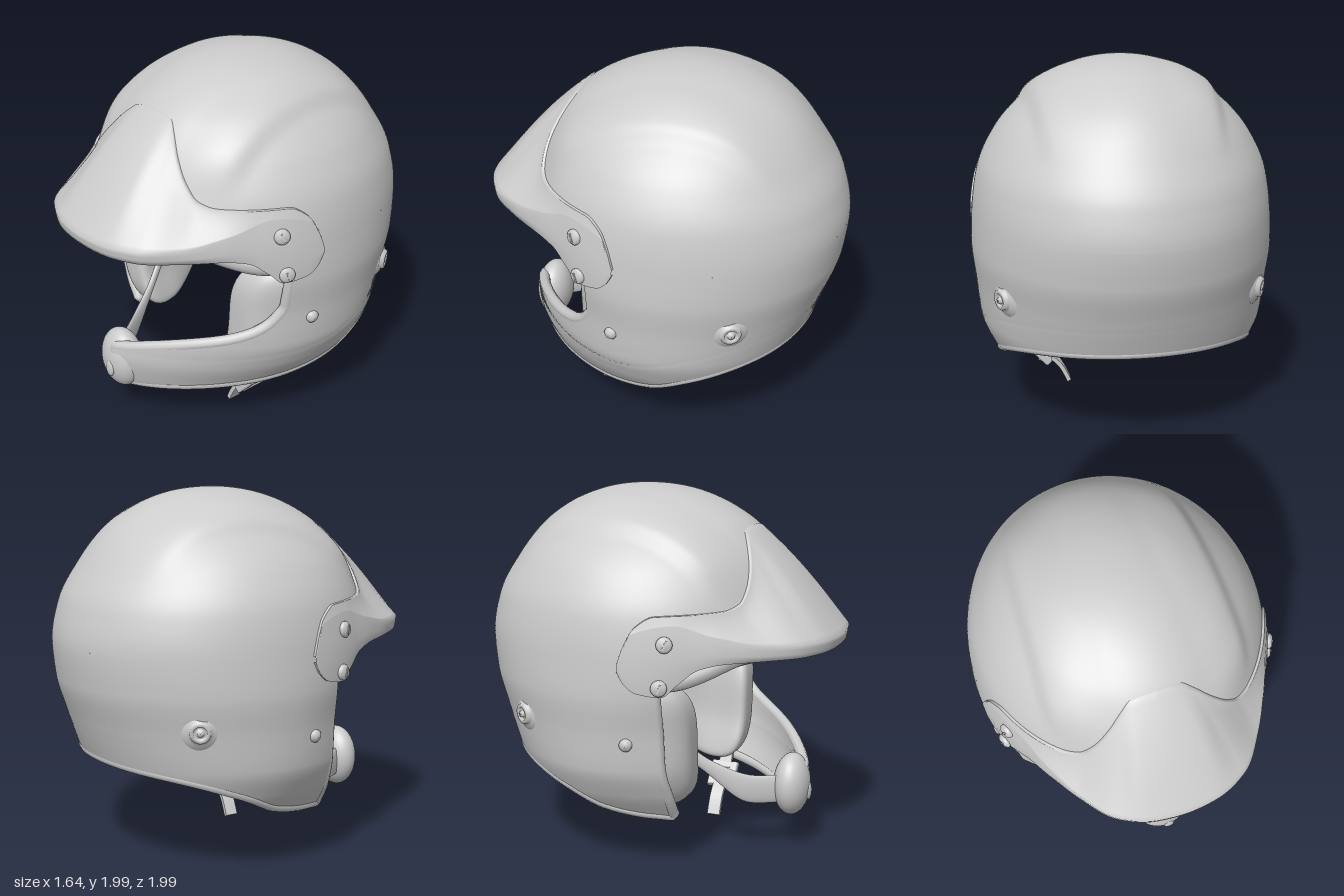
import * as THREE from 'three';
import { mergeVertices } from 'three/addons/utils/BufferGeometryUtils.js';

const MAT = new THREE.MeshStandardMaterial({ color: 0xcccccc, side: THREE.DoubleSide });
const CZ = -0.11;
const rad = THREE.MathUtils.degToRad, lerp = THREE.MathUtils.lerp, smooth = THREE.MathUtils.smoothstep;

// smooth, overshoot-free interpolation of [x, y] pairs
function spline(p) {
  const n = p.length, sl = [], m = [];
  for (let i = 0; i < n - 1; i++) sl.push((p[i + 1][1] - p[i][1]) / (p[i + 1][0] - p[i][0]));
  for (let i = 0; i < n; i++) {
    const a = sl[Math.max(i - 1, 0)], b = sl[Math.min(i, n - 2)];
    m.push(a * b <= 0 ? 0 : 2 * a * b / (a + b));
  }
  return x => {
    x = Math.min(Math.max(x, p[0][0]), p[n - 1][0]);
    let i = 0;
    while (i < n - 2 && x > p[i + 1][0]) i++;
    const h = p[i + 1][0] - p[i][0], t = (x - p[i][0]) / h, t2 = t * t, t3 = t2 * t;
    return (2 * t3 - 3 * t2 + 1) * p[i][1] + (t3 - 2 * t2 + t) * h * m[i]
      + (3 * t2 - 2 * t3) * p[i + 1][1] + (t3 - t2) * h * m[i + 1];
  };
}

// helmet cross-sections: height, half width, front z, back z
const SECTIONS = [
  [2, 0, -0.11, -0.11], [1.99, 0.13, 0.03, -0.27], [1.95, 0.28, 0.2, -0.43], [1.88, 0.4, 0.36, -0.58],
  [1.78, 0.53, 0.5, -0.71], [1.6, 0.69, 0.63, -0.85], [1.4, 0.78, 0.71, -0.96], [1.2, 0.81, 0.76, -1],
  [1, 0.82, 0.79, -0.98], [0.8, 0.8, 0.8, -0.92], [0.6, 0.78, 0.81, -0.85], [0.45, 0.72, 0.82, -0.79],
  [0.3, 0.62, 0.79, -0.72], [0.15, 0.52, 0.7, -0.65]];
const column = fn => {
  const f = spline(SECTIONS.map(s => [Math.sqrt(2 - s[0]), fn(s)]));
  return y => f(Math.sqrt(Math.max(0, 2 - y)));
};
const width = column(s => s[1]), front = column(s => s[2] - CZ), back = column(s => CZ - s[3]);

// half width at sine s of the angle; the jaw tapers towards the front
function halfWidth(y, s) {
  const taper = s > 0 ? 1 + 0.55 * (1 - smooth(y, 0.75, 1.25)) : 1;
  return width(y) * Math.sqrt(Math.max(0, 1 - s * s)) ** taper;
}

// point on the helmet at angle a (degrees, 90 = front), scaled by k towards the middle
function point(a, y, k = 1, ky = k) {
  const c = Math.cos(rad(a)), s = Math.sin(rad(a));
  const x = Math.sign(c) * halfWidth(y, s), z = (s > 0 ? front(y) : back(y)) * s;
  // raised band along the crown with a step down at each side
  const ax = Math.abs(x), edge = 0.45 + 0.08 * z;
  const raise = 1 + 0.028 * smooth(ax, edge - 0.25, edge) * (1 - smooth(ax, edge, edge + 0.09))
    * smooth(y, 1.45, 1.7) * smooth(z, -0.7, -0.3);
  return new THREE.Vector3(x * k * raise, y > 1.1 ? 1.1 + (y - 1.1) * ky * raise : y, CZ + z * k * raise);
}

const mesh = (name, geo) => {
  const m = new THREE.Mesh(geo, MAT);
  m.name = name;
  return m;
};

function weld(geo) {
  geo.deleteAttribute('uv');
  geo.deleteAttribute('normal');
  const g = mergeVertices(geo, 1e-5);
  g.computeVertexNormals();
  return g;
}

// grid surface from f(u, v)
function surface(name, f, nu, nv) {
  const geo = new THREE.PlaneGeometry(1, 1, nu, nv), pos = geo.attributes.position;
  for (let j = 0, i = 0; j <= nv; j++)
    for (let c = 0; c <= nu; c++, i++) {
      const p = f(c / nu, j / nv);
      pos.setXYZ(i, p.x, p.y, p.z);
    }
  return mesh(name, weld(geo));
}

const tube = (name, pts, r, closed = false, seg = 120) =>
  mesh(name, new THREE.TubeGeometry(new THREE.CatmullRomCurve3(pts, closed), seg, r, 10, closed));

const sample = (n, f) => Array.from({ length: n }, (_, i) => f(i / n));

// lower rim height by sine of the angle, and front edges by fraction of height
const bottom = spline([[-1, 0.6], [-0.7, 0.56], [-0.3, 0.465], [0, 0.37], [0.25, 0.325], [0.6, 0.3], [1, 0.265]]);
const barEdge = spline([[0, 26], [0.1, 22], [0.22, 20], [0.4, 20], [0.5, 23], [0.57, 28], [0.62, 36],
  [0.67, 52], [0.74, 75], [0.79, 98], [1, 98.01]]);
const plainEdge = spline([[0, 26], [0.2, 21], [0.6, 21], [1, 23]]);

const crown = k => (u, v) => point(u * 360, 2 - 0.8 * v * v, k);
const sides = k => (u, v) => {
  const a = lerp(barEdge(v), -180 - plainEdge(v), u);
  return point(a, lerp(1.2, bottom(Math.sin(rad(a))), v), k);
};

// peak: outlines by angle from the side
const peakTop = spline([[9, 1.18], [11, 1.27], [15, 1.37], [22, 1.425], [48, 1.435], [55, 1.46], [60, 1.53], [65, 1.63], [70, 1.73], [75, 1.785], [82, 1.8], [90, 1.805]]);
const peakFold = spline([[9, 1.17], [14, 1.34], [28, 1.38], [42, 1.32], [58, 1.27], [90, 1.255]]);
const peakLow = spline([[9, 1.15], [11, 1.09], [15, 1.04], [23, 1.02], [28, 1.08], [36, 1.16], [45, 1.185], [90, 1.2]]);
const peakOut = spline([[9, 0.02], [32, 0.025], [45, 0.07], [57, 0.15], [69, 0.25], [80, 0.28], [90, 0.282]]);
function peak(u, v) {
  const a = lerp(9, 171, u), b = 90 - Math.abs(90 - a), e = peakOut(b);
  const yt = peakTop(b), yf = Math.min(peakFold(b), yt - 0.005), yl = peakLow(b);
  const r = Math.round(v * 30), lip = 1 + e * 0.9;
  if (r === 0) return point(a, yt, 0.99, 1);
  if (r <= 22) {
    const t = (r - 1) / 21;
    const panel = 0.03 * smooth(b, 70, 78) * Math.sin(Math.PI * t);
    return point(a, lerp(yt, yf, t), 1.018 + (e - 0.018) * t ** 1.6 + panel, 1);
  }
  if (r <= 25) {
    const t = (r - 22) / 3;
    return point(a, lerp(yf, yl, t), lerp(1 + e, lip, t), 1);
  }
  return point(a, yl, lerp(lip, 0.98, (r - 25) / 5), 1);
}

// soft cheek pad following the inside of the shell
function cheekPad(side) {
  const geo = new THREE.BoxGeometry(2, 2, 2, 18, 18, 18), pos = geo.attributes.position;
  const v = new THREE.Vector3();
  for (let i = 0; i < pos.count; i++) {
    v.fromBufferAttribute(pos, i);
    v.multiplyScalar((v.x ** 4 + v.y ** 4 + v.z ** 4) ** -0.25);
    const z = lerp(-0.42, 0.32, (v.z + 1) / 2), s = (z - CZ) / 0.9;
    const y = lerp(bottom(s) + 0.01, 1.05, (v.y + 1) / 2);
    const outer = halfWidth(y, s) * 0.95;
    const thick = 0.1 + 0.19 * smooth(z, -0.4, 0.1);
    pos.setXYZ(i, side * (outer - thick * (1 - v.x) / 2), y, z);
  }
  return mesh('cheekPad', weld(geo));
}

// stacked round fitting standing on the shell; rings are [radius, height]
function fitting(name, side, z, y, k, rings, slot) {
  const s = (z - CZ) / (z > CZ ? front(y) : back(y));
  const a = Math.asin(s) * 180 / Math.PI, g = new THREE.Group();
  g.name = name;
  g.add(mesh('head', new THREE.LatheGeometry(rings.map(r => new THREE.Vector2(...r)), 24)));
  if (slot) {
    const bar = mesh('slot', new THREE.BoxGeometry(0.05, 0.006, 0.01));
    bar.position.y = rings[rings.length - 1][1];
    g.add(bar);
  }
  g.position.copy(point(a, y, k, 1));
  g.position.x *= side;
  const n = new THREE.Vector3(side * Math.cos(rad(a)) / width(y), (y - 1) * 0.4, s / front(y)).normalize();
  g.quaternion.setFromUnitVectors(new THREE.Vector3(0, 1, 0), n);
  return g;
}

// hanging strap with its buckle
function strapAndBuckle() {
  const g = new THREE.Group();
  g.name = 'chinStrap';
  const line = new THREE.SplineCurve([[0.53, 0.36], [0.48, 0.25], [0.4, 0.18], [0.33, 0.11], [0.28, 0.01]]
    .map(p => new THREE.Vector2(...p))).getPoints(20);
  const under = line.map(p => new THREE.Vector2(p.x - 0.022, p.y + 0.012)).reverse();
  const strap = mesh('strap', new THREE.ExtrudeGeometry(new THREE.Shape([...line, ...under]), { depth: 0.075, bevelEnabled: false }));
  strap.position.z = 0.135;
  const frame = new THREE.Shape().moveTo(-0.07, -0.07).lineTo(0.07, -0.07).lineTo(0.07, 0.07).lineTo(-0.07, 0.07);
  frame.holes.push(new THREE.Path().moveTo(-0.045, -0.045).lineTo(-0.045, 0.045).lineTo(0.045, 0.045).lineTo(0.045, -0.045));
  const buckle = mesh('buckle', new THREE.ExtrudeGeometry(frame,
    { depth: 0.03, bevelSize: 0.01, bevelThickness: 0.01, bevelSegments: 3 }));
  const pin = mesh('bucklePin', new THREE.CylinderGeometry(0.016, 0.016, 0.15, 12));
  pin.rotation.z = Math.PI / 2;
  pin.position.set(0, -0.02, 0.03);
  const clasp = new THREE.Group();
  clasp.add(buckle, pin);
  clasp.name = 'clasp';
  clasp.rotation.y = Math.PI / 2;
  const tilt = new THREE.Group();
  tilt.name = 'buckleAssembly';
  tilt.add(clasp);
  tilt.position.set(0.43, 0.225, 0.17);
  tilt.rotation.z = -0.75;
  g.add(strap, tilt);
  return g;
}

export function createModel() {
  const model = new THREE.Group();
  model.name = 'openFaceHelmet';
  const inner = 0.925;

  // shell and lining
  model.add(surface('crownShell', crown(1), 180, 60), surface('sideShell', sides(1), 120, 80));
  model.add(surface('crownLining', crown(inner), 72, 24), surface('sideLining', sides(inner), 96, 60));

  // one padded edge running round face opening, chin bar and neck
  const s = sides(0.963);
  model.add(tube('edgeTrim', [
    ...sample(50, t => s(0, t)), ...sample(60, t => s(t, 1)), ...sample(30, t => s(1, 1 - t)),
    ...sample(30, t => point(lerp(154, 26, t), 1.2, 0.963))], 0.031, true, 500));

  // inner padding
  model.add(tube('browPad', sample(40, t => {
    const a = lerp(168, 10, t);
    return point(a, 1.19 - 0.12 * smooth(Math.abs(90 - a), 30, 65), 0.88);
  }), 0.055));
  model.add(tube('neckRoll', sample(24, t => point(lerp(-20, -163, t), 0.65, 0.86)), 0.06));
  model.add(cheekPad(1), cheekPad(-1));

  // peak with its screws
  model.add(surface('peak', peak, 160, 30));

  // chin bar end with button
  const end = mesh('chinBarEnd', new THREE.SphereGeometry(1, 32, 24));
  end.scale.set(0.14, 0.175, 0.1);
  end.position.set(-0.02, 0.385, 0.73);
  const button = mesh('chinButton', new THREE.SphereGeometry(1, 20, 12));
  button.scale.set(0.032, 0.05, 0.015);
  button.position.set(-0.01, 0.35, 0.824);
  model.add(end, button);

  for (const side of [1, -1]) {
    const screw = [[0.042, 0], [0.042, 0.012], [0.03, 0.024], [0, 0.027]];
    model.add(fitting('upperPeakScrew', side, 0.25, 1.29, 1.02, screw, true));
    model.add(fitting('lowerPeakScrew', side, 0.23, 1.07, 1.02, screw, true));
    model.add(fitting('rivet', side, 0.06, 0.755, 1, [[0.034, -0.01], [0.034, 0.01], [0.02, 0.024], [0, 0.027]]));
    model.add(fitting('sideSocket', side, -0.56, 0.83, 1,
      [[0.1, -0.012], [0.07, 0.008], [0.058, 0.008], [0.054, 0.026], [0.036, 0.03], [0.034, 0.018], [0.02, 0.018], [0.016, 0.034], [0, 0.034]]));
  }

  // flat inner band from the cheek pad to the chin bar
  const path = new THREE.CatmullRomCurve3([[-0.36, 0.64, 0.2], [-0.28, 0.5, 0.36], [-0.2, 0.39, 0.52], [-0.08, 0.37, 0.7]]
    .map(p => new THREE.Vector3(...p)));
  model.add(surface('innerBand', (u, v) => {
    const p = path.getPoint(u), c = v * Math.PI * 2;
    p.y += Math.sin(c) * lerp(0.04, 0.08, smooth(u, 0.2, 0.7));
    p.x += Math.cos(c) * 0.02;
    return p;
  }, 32, 20));
  model.add(strapAndBuckle());
  return model;
}
